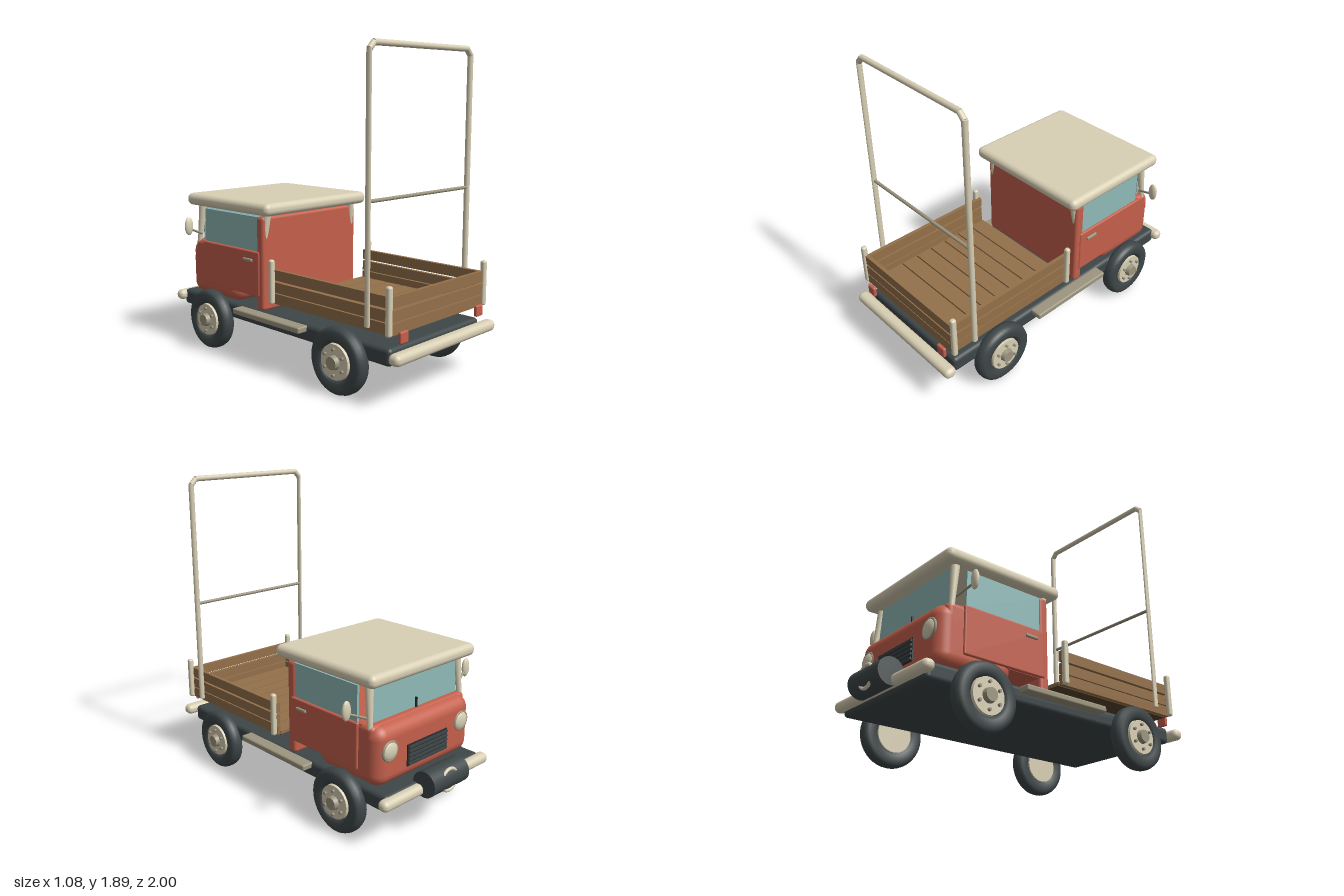
import * as THREE from 'three';
import { RoundedBoxGeometry } from 'three/addons/geometries/RoundedBoxGeometry.js';

const mat = (color) => new THREE.MeshStandardMaterial({ color });
const red = mat(0xc4604c), cream = mat(0xd8cfb4), wood = mat(0x94704a), gap = mat(0x5a432c);
const dark = mat(0x3e4648), glass = mat(0x8fbab8), grey = mat(0x9c957f), black = mat(0x2a2e30);
const V = (x, y, z) => new THREE.Vector3(x, y, z);

export function createModel() {
  const truck = new THREE.Group();
  truck.name = 'flatbedTruck';

  const add = (name, geometry, material, x = 0, y = 0, z = 0, parent = truck) => {
    const m = new THREE.Mesh(geometry, material);
    m.name = name;
    m.position.set(x, y, z);
    parent.add(m);
    return m;
  };
  // box given by its extents, optionally with rounded edges
  const box = (name, material, [x0, x1], [y0, y1], [z0, z1], r = 0) => {
    const s = [x1 - x0, y1 - y0, z1 - z0];
    const g = r ? new RoundedBoxGeometry(...s, 4, r) : new THREE.BoxGeometry(...s);
    return add(name, g, material, (x0 + x1) / 2, (y0 + y1) / 2, (z0 + z1) / 2);
  };
  // round bar between two points, possibly tapered
  const bar = (name, material, a, b, ra, rb = ra) => {
    const d = b.clone().sub(a);
    const m = add(name, new THREE.CylinderGeometry(rb, ra, d.length(), 16), material);
    m.position.copy(a).addScaledVector(d, 0.5);
    m.quaternion.setFromUnitVectors(V(0, 1, 0), d.normalize());
    return m;
  };
  const span = (c, w) => [c - w / 2, c + w / 2];
  const sides = [1, -1];

  // chassis and bumpers
  box('chassis', dark, [-0.41, 0.41], [0.23, 0.33], [-0.88, 0.91], 0.025);
  box('rearBumper', cream, [-0.455, 0.455], [0.26, 0.325], [0.925, 1], 0.03);
  box('frontBumper', cream, [-0.455, 0.455], [0.26, 0.325], [-0.92, -0.85], 0.03);
  for (const s of sides) box('runningBoard', grey, span(s * 0.435, 0.08), [0.288, 0.325], [-0.29, 0.3], 0.01);

  // winch with its ring
  const winch = add('winchDrum', new THREE.CylinderGeometry(0.077, 0.077, 0.305, 32), dark, 0, 0.333, -0.923);
  winch.rotation.z = Math.PI / 2;
  add('winchRing', new THREE.TorusGeometry(0.065, 0.01, 10, 32), cream, 0, 0.333, -0.978);

  // wheels
  const tireProfile = [[0.105, -0.03], [0.125, -0.043], [0.165, -0.045], [0.183, -0.033], [0.19, -0.012],
    [0.19, 0.012], [0.183, 0.033], [0.165, 0.045], [0.125, 0.043], [0.105, 0.03], [0.105, -0.03]]
    .map(([r, h]) => new THREE.Vector2(r, h));
  const tireGeo = new THREE.LatheGeometry(tireProfile, 40);
  const hubGeo = new THREE.CylinderGeometry(0.1, 0.108, 0.085, 32);
  const capGeo = new THREE.CylinderGeometry(0.036, 0.042, 0.03, 24);
  const boltGeo = new THREE.CylinderGeometry(0.009, 0.009, 0.02, 6);
  for (const s of sides) for (const z of [-0.55, 0.58]) {
    const wheel = new THREE.Group();
    wheel.name = 'wheel';
    wheel.position.set(s * 0.435, 0.198, z);
    wheel.rotation.z = -s * Math.PI / 2;
    truck.add(wheel);
    add('tire', tireGeo, dark, 0, 0, 0, wheel);
    add('hub', hubGeo, cream, 0, 0, 0, wheel);
    add('hubCap', capGeo, grey, 0, 0.055, 0, wheel);
    for (let i = 0; i < 6; i++) {
      const a = i * Math.PI / 3;
      add('wheelBolt', boltGeo, grey, Math.cos(a) * 0.073, 0.048, Math.sin(a) * 0.073, wheel);
    }
  }

  // cab body: back wall, lower cabin and rounded nose
  box('cabBackWall', red, [-0.405, 0.405], [0.33, 0.905], [-0.14, -0.075], 0.02);
  box('cabLower', red, [-0.395, 0.395], [0.41, 0.685], [-0.68, -0.1]);
  box('nose', red, [-0.4, 0.4], [0.33, 0.685], [-0.81, -0.32], 0.075);
  box('cowl', red, [-0.4, 0.4], [0.55, 0.69], [-0.76, -0.6], 0.03);
  box('roof', cream, [-0.44, 0.44], [0.915, 0.992], [-0.795, -0.002], 0.035);
  box('windshield', glass, [-0.36, 0.36], [0.68, 0.92], [-0.715, -0.7]);
  box('wiper', black, [-0.004, 0.004], [0.69, 0.75], [-0.728, -0.715]);

  for (const s of sides) {
    box('door', red, span(s * 0.399, 0.026), [0.412, 0.69], [-0.66, -0.11], 0.01);
    box('doorHandle', grey, span(s * 0.416, 0.016), [0.622, 0.642], [-0.25, -0.165], 0.007);
    box('sideWindow', glass, span(s * 0.39, 0.015), [0.685, 0.9], [-0.645, -0.13]);
    bar('frontPillar', cream, V(s * 0.385, 0.635, -0.732), V(s * 0.37, 0.92, -0.705), 0.014, 0.026);
    bar('rearPillar', cream, V(s * 0.385, 0.65, -0.1), V(s * 0.365, 0.92, -0.083), 0.01, 0.026);

    // mirror on its arm
    bar('mirrorArm', grey, V(s * 0.38, 0.725, -0.71), V(s * 0.5, 0.775, -0.675), 0.007);
    const mirror = add('mirror', new THREE.SphereGeometry(1, 24, 16), cream, s * 0.508, 0.793, -0.675);
    mirror.scale.set(0.03, 0.058, 0.017);

    // headlight
    const lamp = add('headlight', new THREE.SphereGeometry(1, 28, 16), cream, s * 0.305, 0.545, -0.805);
    lamp.scale.set(0.056, 0.056, 0.022);
    add('headlightRim', new THREE.TorusGeometry(0.055, 0.008, 10, 32), grey, s * 0.305, 0.545, -0.807);

    box('tailLamp', red, span(s * 0.345, 0.065), [0.36, 0.425], [0.935, 0.957], 0.008);
  }

  // grille with bars
  box('grille', black, [-0.17, 0.17], [0.41, 0.54], [-0.817, -0.8]);
  for (let i = 0; i < 5; i++) box('grilleBar', dark, [-0.165, 0.165], span(0.425 + i * 0.025, 0.013), [-0.826, -0.81]);

  // load bed: floor planks, side slats, tailgate and corner posts
  box('bedBase', gap, [-0.395, 0.395], [0.4, 0.412], [0.005, 0.91]);
  for (let i = 0; i < 8; i++) {
    const z = 0.003 + i * 0.114;
    box('floorPlank', wood, [-0.395, 0.395], [0.405, 0.425], [z, z + 0.106]);
  }
  for (const y of [0.405, 0.473, 0.547]) {
    for (const s of sides) box('sideSlat', wood, span(s * 0.407, 0.024), [y, y + 0.062], [0.01, 0.92]);
    box('tailgateSlat', wood, [-0.42, 0.42], [y, y + 0.062], [0.9, 0.924]);
  }
  for (const s of sides) for (const z of [0.028, 0.918])
    box('cornerPost', cream, span(s * 0.43, 0.034), [0.403, 0.67], span(z, 0.034), 0.013);

  // tall hoop over the bed
  const z = 0.78;
  for (const s of sides) {
    const leg = bar('hoopLeg', cream, V(s * 0.44, 0.43, z), V(s * 0.442, 1.855, z), 0.017);
    if (s < 0) leg.scale.x = 0.6;
    bar('hoopCorner', cream, V(s * 0.44, 1.85, z), V(s * 0.405, 1.885, z), 0.017);
  }
  bar('hoopTop', cream, V(-0.41, 1.884, z), V(0.41, 1.884, z), 0.017);
  bar('hoopCrossbar', grey, V(-0.44, 1.087, z), V(0.44, 1.087, z), 0.01);

  return truck;
}
